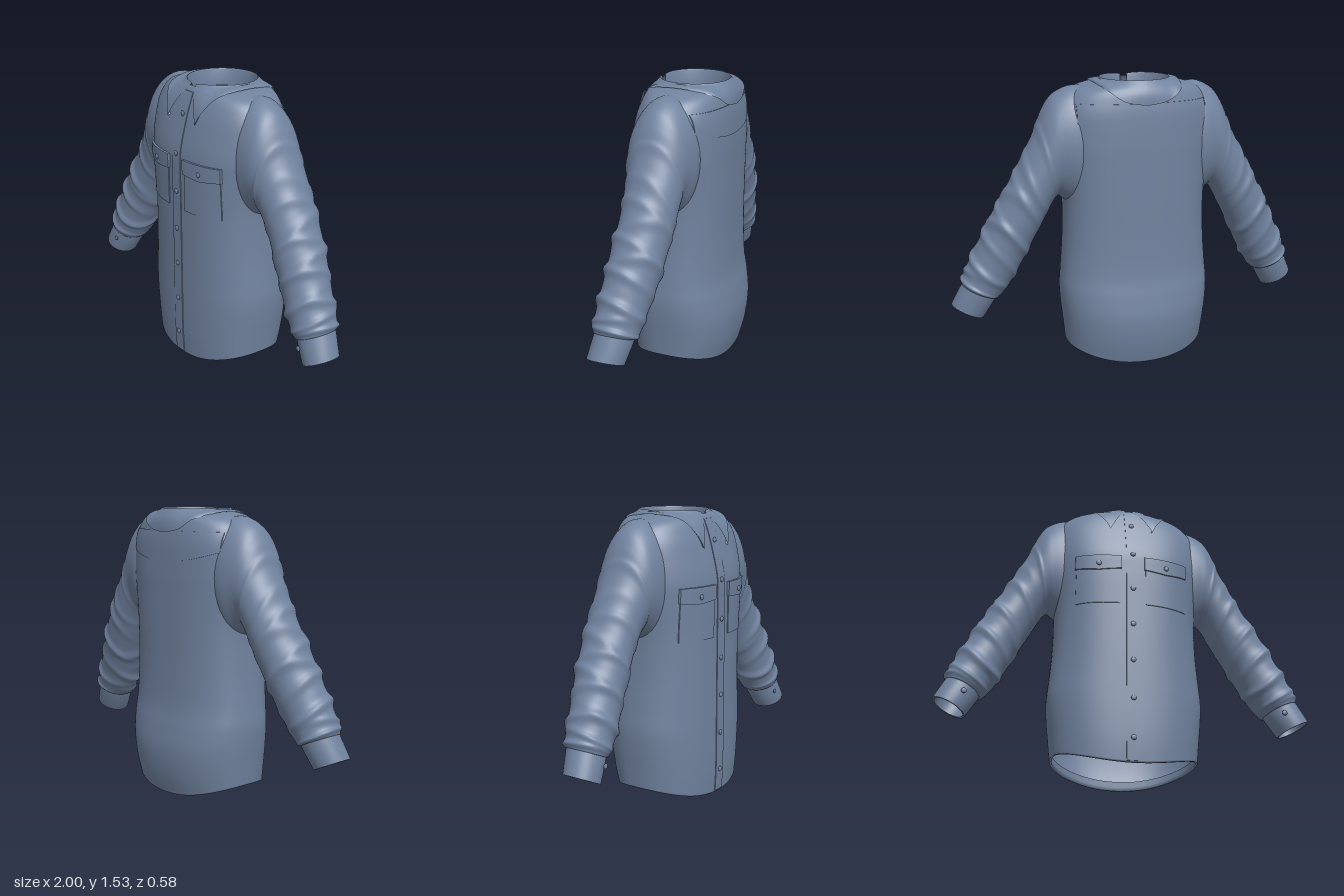
import * as THREE from 'three';
import { toCreasedNormals } from 'three/addons/utils/BufferGeometryUtils.js';

// Catmull-Rom interpolation through rows of numbers; t is a row index
function spline(rows, t) {
  const n = rows.length - 1, i = Math.min(Math.floor(t), n - 1), f = t - i;
  const [a, b, c, d] = [rows[Math.max(i - 1, 0)], rows[i], rows[i + 1], rows[Math.min(i + 2, n)]];
  return b.map((_, k) => 0.5 * (2 * b[k] + (c[k] - a[k]) * f
    + (2 * a[k] - 5 * b[k] + 4 * c[k] - d[k]) * f * f
    + (3 * b[k] - a[k] - 3 * c[k] + d[k]) * f * f * f));
}

// Skin a list of equal-length cross-sections
function loft(rows, closed) {
  const m = rows[0].length, index = [];
  for (let j = 0; j < rows.length - 1; j++) {
    for (let i = 0; i < (closed ? m : m - 1); i++) {
      const k = (i + 1) % m, a = j * m + i, b = j * m + k;
      index.push(a, a + m, b, b, a + m, b + m);
    }
  }
  const g = new THREE.BufferGeometry();
  g.setAttribute('position', new THREE.Float32BufferAttribute(rows.flat(2), 3));
  g.setIndex(index);
  g.computeVertexNormals();
  return g;
}

const range = (n, fn) => Array.from({ length: n }, (_, i) => fn(i));
const spow = (v, e) => Math.sign(v) * Math.abs(v) ** e;

// Body sections: height, half width, front depth, back depth, squareness
const BODY = range(1, () => [
  [0.005, 0.385, 0.272, 0.25, 2.4], [0.12, 0.395, 0.278, 0.278, 2.4], [0.25, 0.407, 0.28, 0.29, 2.4],
  [0.37, 0.413, 0.28, 0.277, 2.4], [0.5, 0.404, 0.28, 0.257, 2.4], [0.7, 0.39, 0.28, 0.25, 2.45],
  [0.9, 0.388, 0.28, 0.25, 2.5], [1.08, 0.405, 0.281, 0.25, 2.5], [1.2, 0.415, 0.276, 0.25, 2.5],
  [1.35, 0.41, 0.24, 0.245, 2.5], [1.43, 0.385, 0.215, 0.235, 2.4], [1.48, 0.34, 0.196, 0.225, 2.3],
  [1.505, 0.27, 0.183, 0.216, 2.1], [1.515, 0.192, 0.172, 0.209, 2],
])[0];
const SECTIONS = range(105, i => spline(BODY, i / 104 * (BODY.length - 1)));

// Depth of the body surface at x, y on the front (side 1) or back (side -1)
function bodyZ(x, y, side = 1) {
  let i = SECTIONS.findIndex(s => s[0] >= y);
  i = Math.max(i < 0 ? SECTIONS.length - 1 : i, 1);
  const a = SECTIONS[i - 1], b = SECTIONS[i];
  const f = THREE.MathUtils.clamp((y - a[0]) / (b[0] - a[0]), 0, 1);
  const [, w, zf, zb, p] = a.map((v, k) => v + (b[k] - v) * f);
  return side * (side > 0 ? zf : zb) * Math.max(0, 1 - Math.abs(x / w) ** p) ** (1 / p);
}

function bodyGeometry() {
  const ring = ([y, w, f, b, p], inset = 0) => range(96, i => {
    const a = i / 96 * Math.PI * 2, c = spow(Math.cos(a), 2 / p), s = spow(Math.sin(a), 2 / p);
    const lift = 0.078 * c * c * Math.max(0, 1 - y / 0.6);
    return [(w - inset) * c, y + lift, ((s > 0 ? f : b) - inset) * s];
  });
  // hem turned inward, then the outer cloth
  const hem = SECTIONS[0];
  const inner = [0.05, 0.02, 0].map(dy => ring([hem[0] + dy, ...hem.slice(1)], 0.012));
  return loft([...inner, ...SECTIONS.map(s => ring(s))], true);
}

// Thin cloth panel that follows the body; bottom(u) shapes the lower edge
function panel(x0, x1, y0, y1, lift, side = 1, bottom = () => 0, nx = 14, ny = 14) {
  const rows = range(ny + 3, j => range(nx + 3, i => {
    const u = THREE.MathUtils.clamp((i - 1) / nx, 0, 1), v = THREE.MathUtils.clamp((j - 1) / ny, 0, 1);
    const edge = i === 0 || j === 0 || i === nx + 2 || j === ny + 2;
    const x = x0 + (x1 - x0) * u, lo = y0 + bottom(u), y = lo + (y1 - lo) * v;
    return [x, y, bodyZ(x, y, side) + side * (edge ? -0.004 : lift)];
  }));
  return toCreasedNormals(loft(rows, false), 0.6);
}

// Sleeve stations: outer x, y, inner x, y, centre z, half depth
const SLEEVE = [
  [0.27, 1.5, 0.26, 0.92, -0.01, 0.17], [0.36, 1.5, 0.34, 0.87, -0.005, 0.18],
  [0.445, 1.455, 0.4, 0.9, 0, 0.17], [0.497, 1.38, 0.422, 0.918, 0, 0.162],
  [0.54, 1.275, 0.445, 0.902, -0.004, 0.153], [0.595, 1.17, 0.472, 0.86, -0.006, 0.147],
  [0.655, 1.06, 0.503, 0.8, -0.006, 0.142], [0.715, 0.95, 0.543, 0.725, 0, 0.14],
  [0.772, 0.85, 0.587, 0.64, 0.01, 0.138], [0.828, 0.74, 0.632, 0.55, 0.022, 0.134],
  [0.882, 0.63, 0.682, 0.46, 0.036, 0.128], [0.928, 0.53, 0.728, 0.395, 0.045, 0.122],
  [0.948, 0.465, 0.757, 0.372, 0.048, 0.113], [0.93, 0.455, 0.772, 0.382, 0.05, 0.098],
];
// Cloth folds: station, width, height, angle, slant
const FOLDS = [
  [3.8, 0.22, 0.009, 0.3, 0.15], [5.2, 0.25, 0.008, -0.6, 0.5], [6.1, 0.22, 0.01, 0.6, 0.4],
  [6.9, 0.25, 0.011, -0.3, -0.4], [7.7, 0.22, 0.012, 0.8, 0.4], [8.4, 0.2, 0.012, -0.7, -0.3],
  [9.0, 0.2, 0.014, 0.5, 0.3], [9.7, 0.22, 0.014, 2.2, -0.35], [10.2, 0.2, 0.015, -0.4, 0.3],
  [10.9, 0.2, 0.013, 0.9, -0.2], [11.6, 0.22, 0.013, -0.2, 0.15], [8.0, 0.25, 0.008, 3.0, 0.3],
];

function sleeveRing([ox, oy, ix, iy, zc, hz], s, bulge = () => 0) {
  const ex = (ox - ix) / 2, ey = (oy - iy) / 2, len = Math.hypot(ex, ey);
  return range(48, i => {
    const a = i / 48 * Math.PI * 2, b = bulge(a), c = Math.cos(a) * (1 + b / len);
    return [s * ((ox + ix) / 2 + ex * c), (oy + iy) / 2 + ey * c, zc + (hz + b) * Math.sin(a)];
  });
}

function sleeveGeometry(s) {
  const n = 150, last = SLEEVE.length - 1;
  return loft(range(n + 1, j => {
    const t = j / n * last;
    return sleeveRing(spline(SLEEVE, t), s, a => FOLDS.reduce((sum, [c, w, h, ang, slant]) =>
      sum + h * Math.exp(-(((t - c + slant * Math.sin(a)) / w) ** 2)) * (0.5 + 0.5 * Math.cos(a - ang)), -0.003));
  }), true);
}

function cuffGeometry(s) {
  const rows = [
    [0.925, 0.5, 0.75, 0.42, 0.045, 0.1], [0.942, 0.46, 0.762, 0.378, 0.05, 0.102],
    [0.997, 0.35, 0.828, 0.266, 0.07, 0.096], [1.0, 0.342, 0.832, 0.26, 0.071, 0.095],
    [0.99, 0.338, 0.842, 0.266, 0.071, 0.084], [0.932, 0.46, 0.776, 0.388, 0.05, 0.088],
  ];
  return toCreasedNormals(loft(rows.map(r => sleeveRing(r, s)), true), 0.8);
}

// Collar: stand, fold and one falling leaf per side
function collarGeometry(s) {
  const edge = [
    [0.117, 1.345, 0.25], [0.152, 1.415, 0.228], [0.21, 1.497, 0.158], [0.235, 1.517, -0.02],
    [0.198, 1.485, -0.202], [0.115, 1.43, -0.242], [0, 1.41, -0.252],
  ];
  const n = 48;
  const circle = (r, y) => range(n + 1, i => {
    const a = 0.1 + (Math.PI - 0.1) * i / n;
    return [s * r * Math.sin(a), y - 0.015 * Math.exp(-a * 5), -0.02 + r * Math.cos(a)];
  });
  const top = circle(0.19, 1.528);
  const low = range(n + 1, i => spline(edge, i / n * 6)).map(([x, y, z]) => [s * x, y, z]);
  const leaf = f => top.map((p, i) => {
    const q = p.map((v, k) => v + (low[i][k] - v) * f), h = 0.012 * Math.sin(Math.PI * f);
    const l = Math.hypot(q[0], q[2]);
    return [q[0] + q[0] / l * h, q[1] + h * 0.4, q[2] + q[2] / l * h];
  });
  const tuck = low.map(([x, y, z]) => [x * 0.95, y + 0.004, z * 0.95]);
  const rows = [circle(0.181, 1.44), circle(0.181, 1.525), circle(0.185, 1.534),
    ...range(9, i => leaf(i / 8)), tuck];
  return toCreasedNormals(loft(rows, false), 0.9);
}

export function createModel() {
  const shirt = new THREE.Group();
  shirt.name = 'shirt';
  const cloth = new THREE.MeshStandardMaterial({ color: 0x71839f, side: THREE.DoubleSide });
  cloth.name = 'slate blue cloth';
  const add = (name, geometry) => {
    const mesh = new THREE.Mesh(geometry, cloth);
    mesh.name = name;
    shirt.add(mesh);
    return mesh;
  };
  const button = (name, x, y, z) => {
    const b = add(name, new THREE.SphereGeometry(0.014, 16, 10));
    b.scale.z = 0.5;
    b.position.set(x, y, z);
  };

  add('body', bodyGeometry());
  add('backYoke', panel(-0.35, 0.35, 1.26, 1.42, 0.004, -1, u => 0.06 * (2 * u - 1) ** 2, 40));

  // button placket
  add('placket', panel(-0.035, 0.035, 0.012, 1.49, 0.004, 1, () => 0, 4, 70));
  for (const y of [0.13, 0.34, 0.55, 0.755, 0.965, 1.175, 1.38]) button('frontButton', 0, y, bodyZ(0, y) + 0.006);

  for (const s of [1, -1]) {
    const side = s > 0 ? 'left' : 'right';
    add(side + 'Sleeve', sleeveGeometry(s));
    add(side + 'Cuff', cuffGeometry(s));
    button(side + 'CuffButton', s * 0.845, 0.365, 0.161);
    add(side + 'Collar', collarGeometry(s));
    // chest pocket with buttoned flap
    add(side + 'Pocket', panel(s * 0.07, s * 0.298, 0.875, 1.12, 0.005));
    add(side + 'PocketFlap', panel(s * 0.063, s * 0.304, 1.068, 1.156, 0.013, 1,
      u => 0.012 * Math.abs(2 * u - 1)));
    button(side + 'PocketButton', s * 0.185, 1.105, bodyZ(0.185, 1.105) + 0.015);
  }
  return shirt;
}
